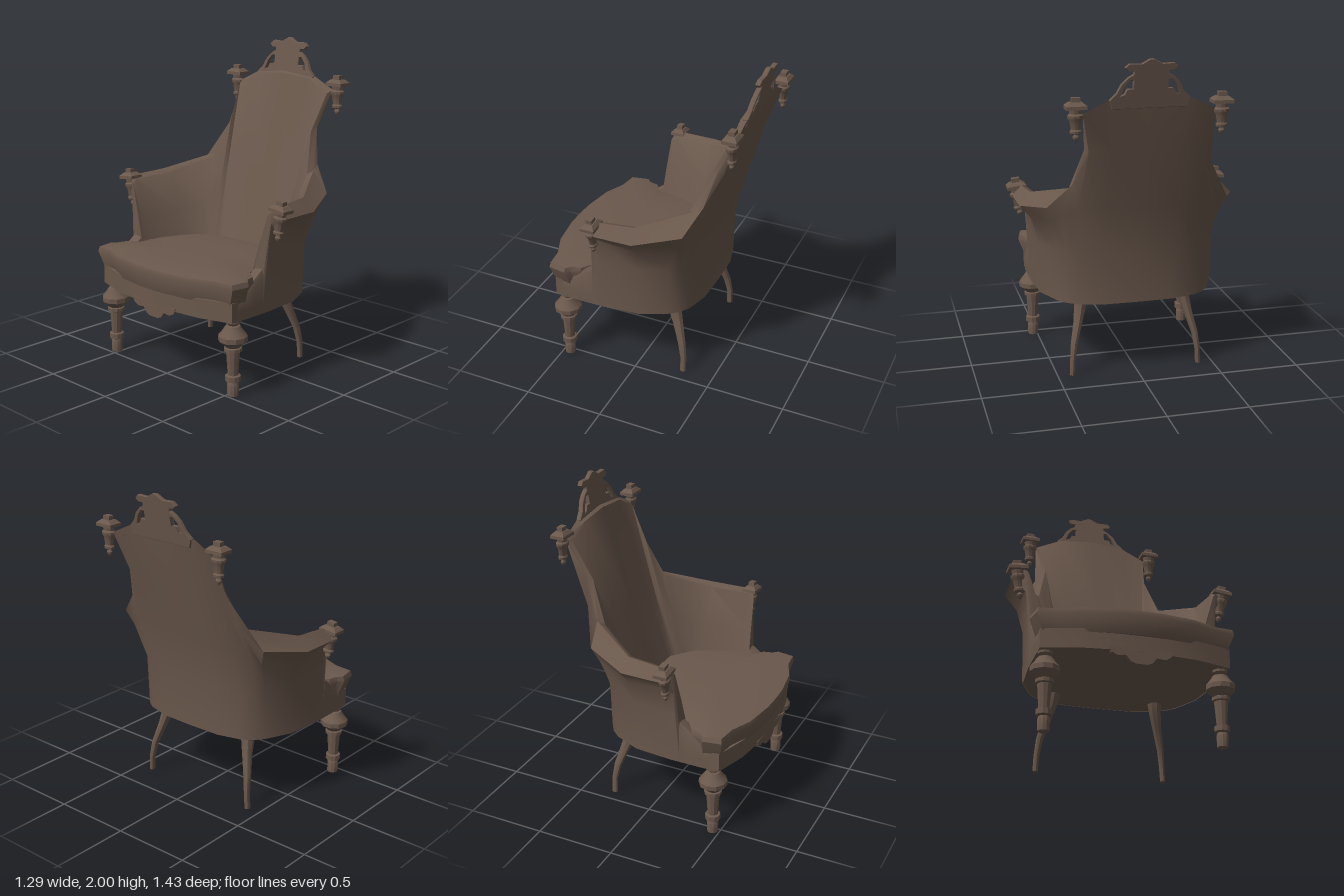
import * as THREE from 'three';
import { toCreasedNormals, mergeVertices } from 'three/addons/utils/BufferGeometryUtils.js';

const material = new THREE.MeshStandardMaterial({ color: 0x6a584c, side: THREE.DoubleSide });

// Skin a list of equal-length cross-sections; each point is [x, y, z].
function loft(rings, closed, crease = 0.7) {
  const n = rings[0].length, index = [];
  for (let i = 0; i < rings.length - 1; i++) {
    for (let j = 0; j < (closed ? n : n - 1); j++) {
      const a = i * n + j, b = i * n + (j + 1) % n;
      index.push(a, b, a + n, b, b + n, a + n);
    }
  }
  const g = new THREE.BufferGeometry();
  g.setAttribute('position', new THREE.Float32BufferAttribute(rings.flat(2), 3));
  g.setIndex(index);
  return toCreasedNormals(mergeVertices(g, 1e-4), crease);
}

function add(parent, name, geometry) {
  const mesh = new THREE.Mesh(geometry, material);
  mesh.name = name;
  parent.add(mesh);
  return mesh;
}

const vectors = points => points.map(p => new THREE.Vector2(...p));
const lathe = (profile, sides) => toCreasedNormals(new THREE.LatheGeometry(vectors(profile), sides), 0.6);

// Complete a half plan of [x, z] points that starts and ends on the centre line.
const mirrorPlan = half => [...half, ...half.slice(1, -1).reverse().map(([x, z]) => [x, -z])];
// Complete a half elevation of [z, y] points, top to bottom.
const mirrorFace = half => [...half, ...half.slice().reverse().map(([z, y]) => [-z, y])];

// Upholstery stations from the back centre round to the arm front.
const STATIONS = [
  { base: [.365, 0], under: [.44, 1.1, 0], roll: [.53, 1.46, 0], top: [.60, 1.80, 0], seat: [.21, 0] },
  { base: [.36, .22], under: [.43, 1.1, .22], roll: [.525, 1.46, .2], top: [.60, 1.78, .22], seat: [.21, .22] },
  { base: [.32, .37], under: [.405, 1.1, .38], roll: [.515, 1.46, .34], top: [.595, 1.70, .39], seat: [.2, .25] },
  { base: [.28, .43], under: [.37, 1.06, .47], roll: [.42, 1.25, .42], top: [.48, 1.47, .36], seat: [.18, .28] },
  { base: [.22, .48], under: [.31, 1.0, .52], roll: [.345, 1.1, .56], top: [.37, 1.22, .43], seat: [.15, .32] },
  { base: [.05, .555], under: [.075, .955, .60], roll: [.075, 1.05, .68], top: [.06, 1.13, .61], seat: [.07, .39] },
  { base: [-.19, .575], under: [-.19, .97, .60], roll: [-.19, 1.05, .685], top: [-.19, 1.12, .635], seat: [-.22, .48] },
];

// One section: up the outside, over the roll and down the inside to the seat.
function section({ base: [bx, bz], under, roll, top, seat: [sx, sz] }) {
  const [tx, ty, tz] = top;
  const inset = .045 / Math.hypot(sx - tx, sz - tz);
  const inner = [tx + (sx - tx) * inset, ty - .02, tz + (sz - tz) * inset];
  const seat = [sx, .68, sz];
  const wall = seat.map((v, k) => v + (inner[k] - v) * .45);
  return [[bx, .47, bz], [bx + .007, .8, bz + (bz ? .007 : 0)], under, roll, top, inner, wall, seat];
}

// Scooped run from the arm front down to the seat rail.
const scoop = (x, top, z) => [[x, .47, z], [x, .5, z], [x, .53, z], [x, top - .03, z],
  [x, top, z - .01], [x, top, z - .04], [x, top - .01, .50], [x, .57, .47]];

function shellGeometry() {
  const half = STATIONS.map(section);
  const armFront = half[half.length - 1].map(([x, y, z]) => [x - .035, y > .9 ? y - .03 : y, Math.min(z, .61)]);
  half.push(armFront, scoop(-.25, .74, .575), scoop(-.32, .69, .575), scoop(-.41, .62, .575), scoop(-.51, .58, .565));
  const otherHalf = half.slice(1).reverse().map(s => s.map(([x, y, z]) => [x, y, -z]));
  // sections are listed front-to-front so that the faces point outwards
  return loft([...otherHalf, ...half].reverse(), false, 0.8);
}

// Straight-sided slab under the cushion, following the plan of the shell.
function railGeometry() {
  const bases = STATIONS.map(({ base: [x, z] }) => [x - .005, Math.max(0, z - .005)]).reverse();
  const plan = mirrorPlan([[-.605, 0], [-.60, .16], [-.575, .36], [-.51, .57], ...bases]);
  const g = new THREE.ExtrudeGeometry(new THREE.Shape(vectors(plan)), { depth: .12, bevelEnabled: false });
  return toCreasedNormals(g.rotateX(Math.PI / 2).translate(0, .59, 0), 0.5);
}

// Crowned cushion with ears that lap over the front corners.
function cushionGeometry() {
  const plan = mirrorPlan([[-.645, 0], [-.642, .12], [-.61, .33], [-.55, .47], [-.535, .595], [-.42, .615],
    [-.39, .585], [-.33, .57], [-.27, .49], [-.1, .485], [.1, .38], [.215, .235], [.215, 0]]).reverse();
  const ring = ([scale, y]) => plan.map(([x, z]) => [-.2 + (x + .2) * scale, y, z * scale]);
  const rings = [[0, .57], [.93, .57], [.945, .59], [1, .68], [.985, .71], [.8, .724], [.45, .731], [0, .733]];
  return loft(rings.map(ring), true, 0.6);
}

// Pierced back ornament, leaning with the back.
function crestGeometry() {
  const shape = new THREE.Shape(vectors(mirrorFace([[.01, 2.0], [.06, 1.972], [.13, 1.975], [.152, 1.955],
    [.135, 1.937], [.10, 1.935], [.10, 1.915], [.135, 1.895], [.17, 1.86], [.195, 1.81], [.235, 1.77], [.22, 1.72]])));
  const hole = [[.10, 1.885], [.125, 1.885], [.155, 1.85], [.178, 1.79], [.15, 1.80], [.135, 1.83], [.10, 1.83]];
  for (const s of [1, -1]) {
    shape.holes.push(new THREE.Path(vectors(hole.map(([z, y]) => [z * s, y]))));
  }
  const g = new THREE.ExtrudeGeometry(shape,
    { depth: .02, bevelThickness: .005, bevelSize: .003, bevelSegments: 1 });
  g.rotateY(Math.PI / 2);
  const p = g.attributes.position;
  for (let i = 0; i < p.count; i++) p.setX(i, p.getX(i) + .58 + (p.getY(i) - 1.77) * .18);
  return toCreasedNormals(g, 0.5);
}

// Carved drop at the middle of the front rail.
function apronGeometry() {
  const edge = [[.19, .49], [.175, .455], [.14, .437], [.09, .442], [.065, .41], [.035, .397]];
  const g = new THREE.ExtrudeGeometry(new THREE.Shape(vectors(mirrorFace(edge))), { depth: .035, bevelEnabled: false });
  return toCreasedNormals(g.rotateY(Math.PI / 2).translate(-.603, 0, 0), 0.5);
}

// Square-capped turned pendant; its origin is the underside of the cap.
function finial(name) {
  const group = new THREE.Group();
  group.name = name;
  const slope = new THREE.CylinderGeometry(.035 * Math.SQRT2, .06 * Math.SQRT2, .02, 4).rotateY(Math.PI / 4);
  add(group, 'capSlope', toCreasedNormals(slope, 0.3)).position.y = .03;
  add(group, 'capPlate', new THREE.BoxGeometry(.12, .02, .12)).position.y = .01;
  add(group, 'capKnob', new THREE.BoxGeometry(.05, .03, .05)).position.y = .05;
  add(group, 'pendant', lathe([[0, -.19], [.018, -.17], [.02, -.16], [.01, -.145], [.034, -.138], [.036, -.125],
    [.028, -.115], [.036, -.07], [.048, -.05], [.048, -.035], [.036, -.025], [.04, 0]], 10));
  group.scale.x = .75;
  return group;
}

const FRONT_LEG = [[0, 0], [.034, 0], [.036, .07], [.03, .085], [.047, .092], [.047, .125], [.032, .13],
  [.042, .275], [.055, .28], [.055, .3], [.045, .305], [.062, .325], [.088, .345], [.088, .375], [.06, .41],
  [.045, .435], [.03, .44], [.045, .455], [.045, .475]];

// Sabre-curved rear leg; path points are x, y, z and radius.
function rearLegGeometry(side) {
  const path = [[.295, 0, .408, 0], [.295, 0, .408, .02], [.295, .1, .403, .021], [.277, .2, .39, .026],
    [.235, .33, .355, .035], [.205, .42, .335, .046], [.195, .48, .328, .053]];
  return loft(path.map(([x, y, z, r]) => Array.from({ length: 8 }, (_, i) => {
    const a = -i * Math.PI / 4;
    return [x + r * Math.cos(a), y, side * z + r * .85 * Math.sin(a)];
  })), true);
}

export function createModel() {
  const chair = new THREE.Group();
  chair.name = 'armchair';
  add(chair, 'upholsteredShell', shellGeometry());
  add(chair, 'seatRail', railGeometry());
  add(chair, 'seatCushion', cushionGeometry());
  add(chair, 'backCrest', crestGeometry());
  add(chair, 'frontApron', apronGeometry());

  for (const s of [1, -1]) {
    const side = s > 0 ? 'Left' : 'Right';
    add(chair, 'frontLeg' + side, lathe(FRONT_LEG, 10)).position.set(-.455, 0, s * .525);
    add(chair, 'rearLeg' + side, rearLegGeometry(s));

    const arm = finial('armFinial' + side);
    arm.position.set(-.195, 1.095, s * .655);
    arm.rotation.x = s * .12;
    const back = finial('backFinial' + side);
    back.position.set(.59, 1.73, s * .43);
    chair.add(arm, back);
  }
  return chair;
}
